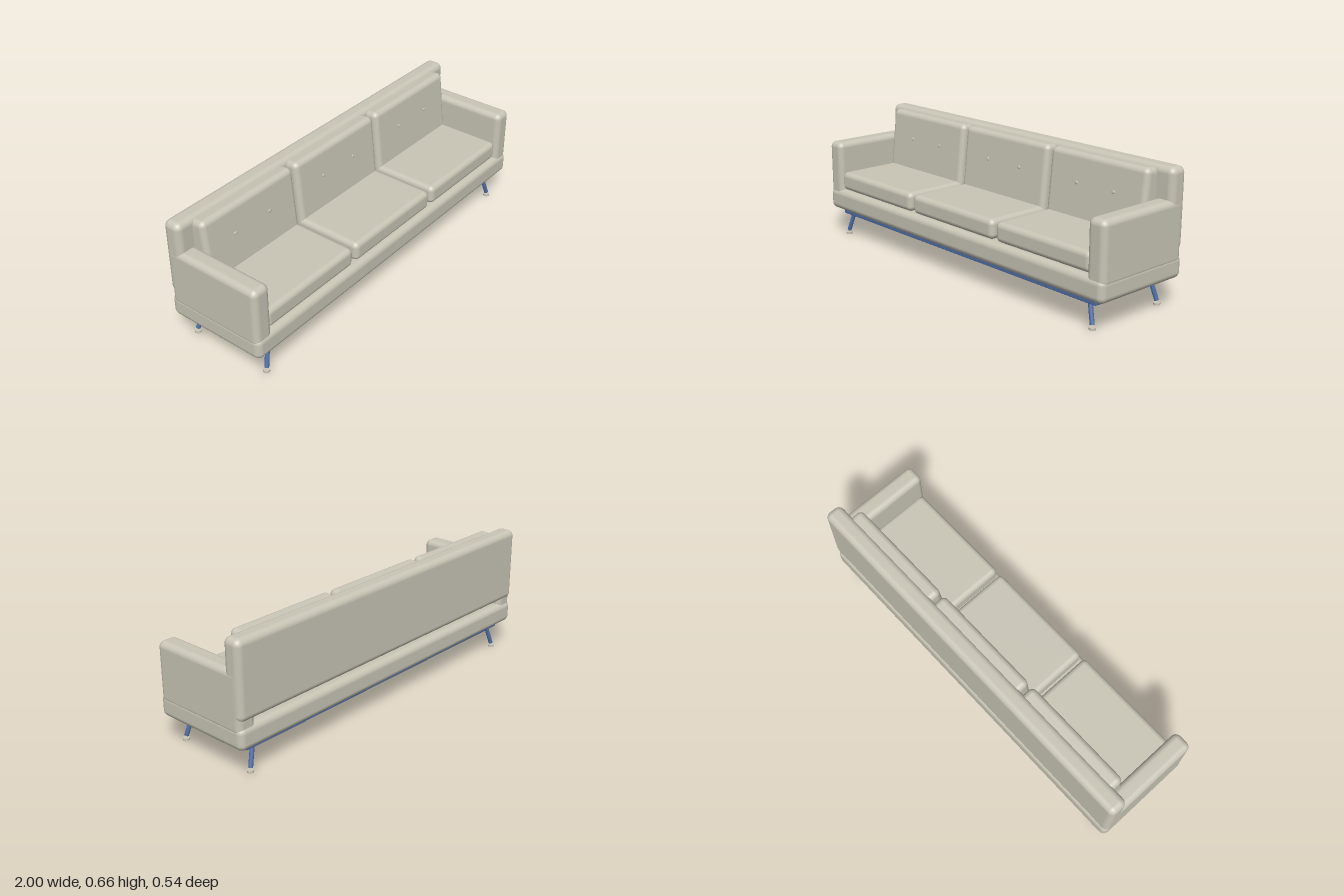
import * as THREE from 'three';
import { RoundedBoxGeometry } from 'three/addons/geometries/RoundedBoxGeometry.js';

const fabric = new THREE.MeshStandardMaterial({ color: 0xc9c5b6 });
fabric.name = 'warm grey fabric';
const frame = new THREE.MeshStandardMaterial({ color: 0x4f6ea6 });
frame.name = 'blue frame';

// Rounded box given by its [min, max] range on each axis
function pad(name, [x0, x1], [y0, y1], [z0, z1], radius, material = fabric) {
  const geometry = new RoundedBoxGeometry(x1 - x0, y1 - y0, z1 - z0, 5, radius);
  const mesh = new THREE.Mesh(geometry, material);
  mesh.name = name;
  mesh.position.set((x0 + x1) / 2, (y0 + y1) / 2, (z0 + z1) / 2);
  return mesh;
}

// Straight round bar between two points
function bar(name, a, b, radius, material) {
  const dir = b.clone().sub(a);
  const mesh = new THREE.Mesh(new THREE.CylinderGeometry(radius, radius, dir.length(), 24), material);
  mesh.name = name;
  mesh.position.copy(a).add(b).multiplyScalar(0.5);
  mesh.quaternion.setFromUnitVectors(new THREE.Vector3(0, 1, 0), dir.normalize());
  return mesh;
}

export function createModel() {
  const sofa = new THREE.Group();
  sofa.name = 'sofa';

  // Upholstered body
  sofa.add(pad('base', [-1, 1], [0.143, 0.258], [-0.267, 0.269], 0.032));
  sofa.add(pad('backrest', [-0.999, 0.999], [0.28, 0.664], [-0.268, -0.173], 0.032));
  sofa.add(pad('rightArm', [-1, -0.9], [0.215, 0.516], [-0.258, 0.263], 0.03));
  sofa.add(pad('leftArm', [0.9, 1], [0.215, 0.516], [-0.258, 0.263], 0.03));

  // Seat and back cushions, three across
  const buttonGeometry = new THREE.SphereGeometry(0.009, 16, 10);
  for (const i of [-1, 0, 1]) {
    const x = i * 0.613 - 0.002;
    sofa.add(pad('seatCushion', [x - 0.296, x + 0.296], [0.256, 0.355], [-0.17, 0.247], 0.027));

    const back = new THREE.Group();
    back.name = 'backCushion';
    back.position.set(x, 0.475, -0.146);
    back.rotation.x = -0.106;
    back.add(pad('backPad', [-0.297, 0.297], [-0.178, 0.178], [-0.05, 0.05], 0.028));
    for (const s of [-1, 1]) {
      const button = new THREE.Mesh(buttonGeometry, fabric);
      button.name = 'button';
      button.position.set(s * 0.113, 0.036, 0.05);
      button.scale.z = 0.4;
      back.add(button);
    }
    sofa.add(back);
  }

  // Metal frame under the base
  sofa.add(pad('frame', [-0.93, 0.93], [0.116, 0.146], [-0.223, 0.228], 0.004, frame));

  // Splayed legs with separate foot pads
  for (const sx of [-1, 1]) {
    for (const [zTop, zBottom] of [[0.202, 0.218], [-0.199, -0.215]]) {
      const top = new THREE.Vector3(sx * 0.876, 0.12, zTop);
      const bottom = new THREE.Vector3(sx * 0.906, 0.021, zBottom);
      sofa.add(bar('leg', top, bottom, 0.0108, frame));
      const foot = new THREE.Mesh(new THREE.CylinderGeometry(0.016, 0.016, 0.011, 24), fabric);
      foot.name = 'footPad';
      foot.position.set(sx * 0.908, 0.0055, zBottom);
      sofa.add(foot);
    }
  }
  return sofa;
}
